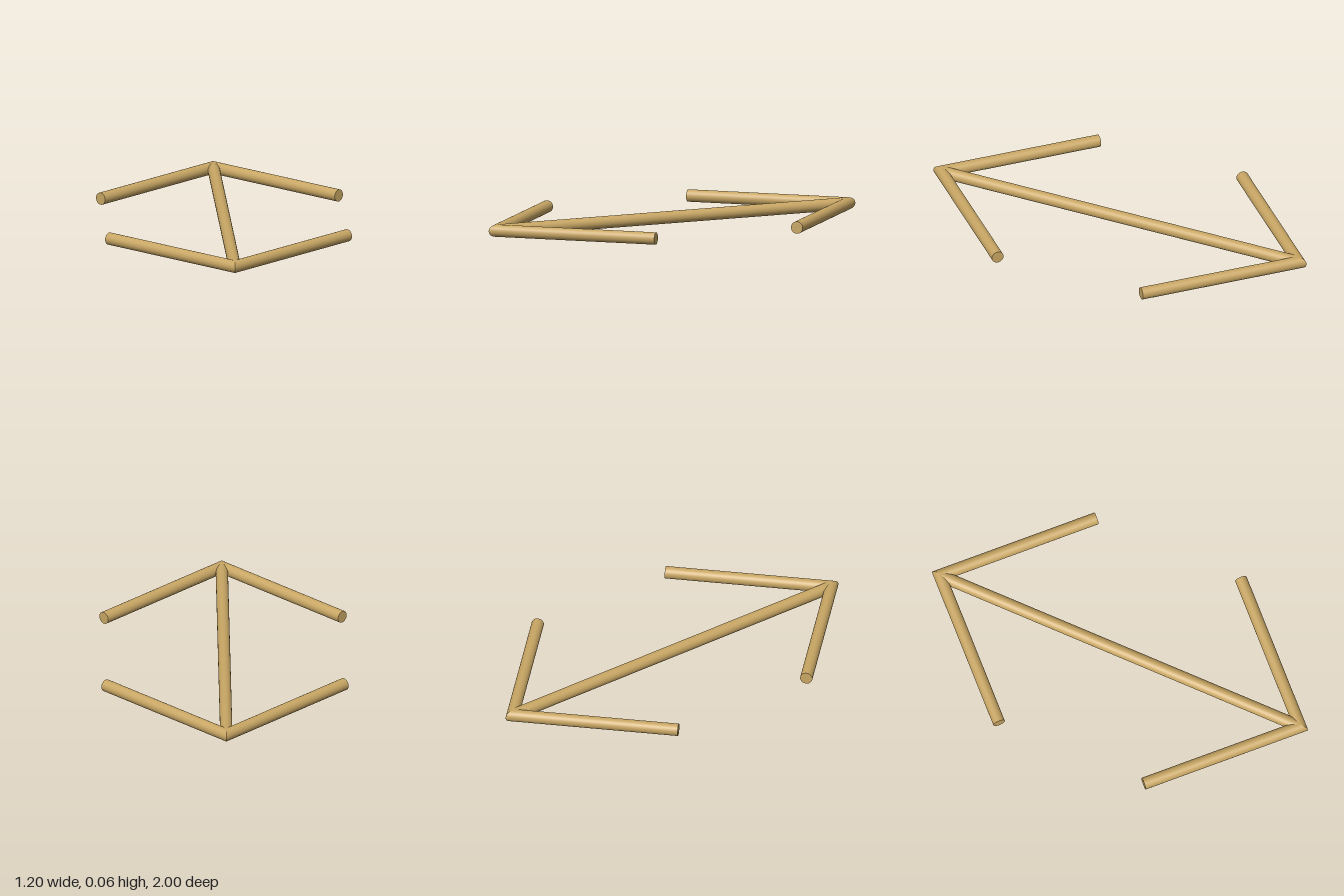
import * as THREE from 'three';

const R = 0.03;      // rod radius
const APEX = 0.958;  // where the rod centre lines meet
const END_X = 0.579, END_Z = 0.384; // centre of each barb's free end

// Round rod lying flat between two points on the ground plan
function rodGeometry(x0, z0, x1, z1) {
  const dx = x1 - x0, dz = z1 - z0;
  const g = new THREE.CylinderGeometry(R, R, Math.hypot(dx, dz), 32);
  g.rotateX(Math.PI / 2);
  g.rotateY(Math.atan2(dx, dz));
  g.translate((x0 + x1) / 2, R, (z0 + z1) / 2);
  return g;
}

// Slide the inner end along the rod onto the plane x = 0, making a mitre joint
function mitre(g, slope) {
  const p = g.attributes.position;
  for (let i = 0; i < p.count; i++) {
    const x = p.getX(i);
    if (Math.abs(x) < END_X / 2) {
      p.setZ(i, p.getZ(i) - x * slope);
      p.setX(i, 0);
    }
  }
  return g;
}

export function createModel() {
  const model = new THREE.Group();
  model.name = 'doubleArrow';
  const wood = new THREE.MeshStandardMaterial({ color: 0xc8a664 });
  wood.name = 'tan';

  const add = (name, geometry) => {
    const mesh = new THREE.Mesh(geometry, wood);
    mesh.name = name;
    model.add(mesh);
  };

  // Long middle rod
  add('shaft', rodGeometry(0, -APEX, 0, APEX));

  // Two barbs at each end, meeting in a point
  for (const s of [1, -1]) {
    for (const t of [1, -1]) {
      const slope = (s * END_Z - s * APEX) / (t * END_X);
      const name = (s > 0 ? 'front' : 'back') + (t > 0 ? 'Left' : 'Right') + 'Barb';
      add(name, mitre(rodGeometry(0, s * APEX, t * END_X, s * END_Z), slope));
    }
  }
  return model;
}
